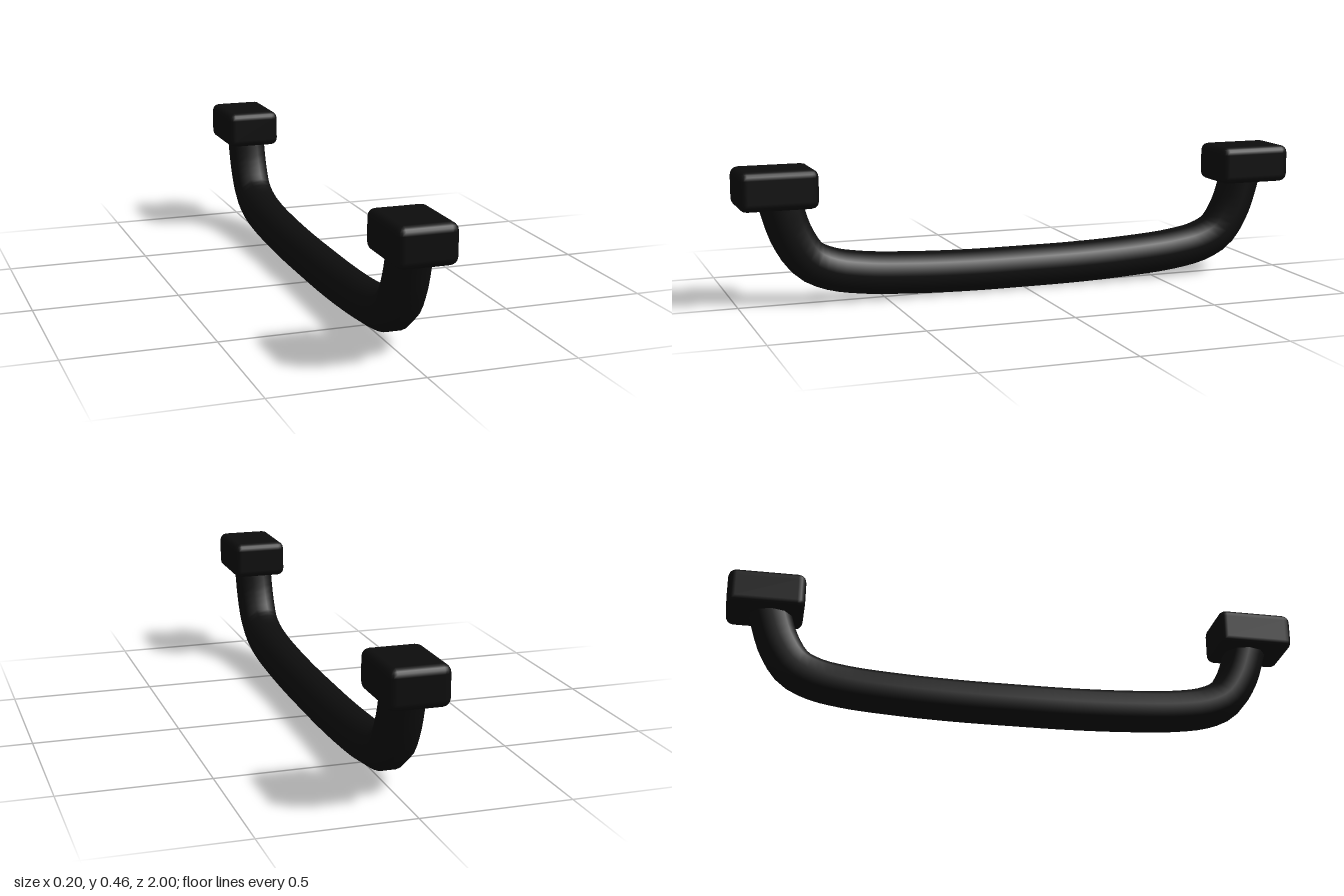
import * as THREE from 'three';
import { RoundedBoxGeometry } from 'three/addons/geometries/RoundedBoxGeometry.js';

export function createModel() {
  const model = new THREE.Group();
  model.name = 'pullHandle';
  const black = new THREE.MeshStandardMaterial({ color: 0x0d0d0d });
  black.name = 'black';

  // Grip: ten-sided bar swept along a mirrored half path (z, y)
  const half = [[0.865, 0.4], [0.847, 0.335], [0.814, 0.236], [0.76, 0.154], [0.69, 0.117], [0.58, 0.095], [0.4, 0.081], [0.2, 0.074]];
  const front = half.map(([z, y]) => new THREE.Vector3(0, y, z));
  const back = half.map(([z, y]) => new THREE.Vector3(0, y, -z)).reverse();
  const path = new THREE.CatmullRomCurve3([...front, new THREE.Vector3(0, 0.073, 0), ...back]);
  const grip = new THREE.Mesh(new THREE.TubeGeometry(path, 64, 0.073, 10), black);
  grip.name = 'grip';
  model.add(grip);

  // Mounting blocks: one rounded block at each end
  const blockGeometry = new RoundedBoxGeometry(0.2, 0.132, 0.265, 2, 0.027);
  for (const side of [1, -1]) {
    const block = new THREE.Mesh(blockGeometry, black);
    block.name = side > 0 ? 'frontMount' : 'backMount';
    block.position.set(0, 0.401, side * 0.8675);
    model.add(block);
  }
  return model;
}
